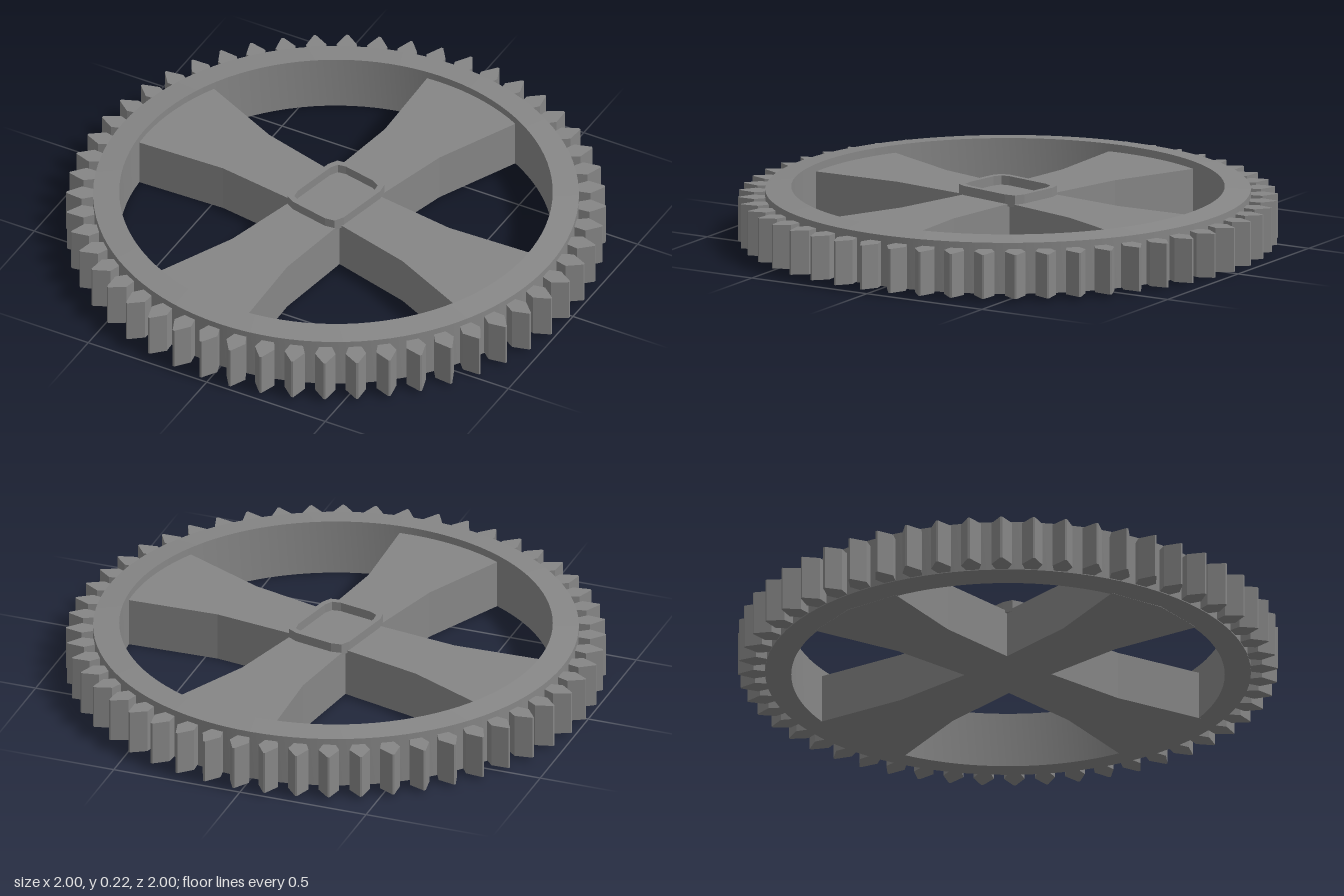
import * as THREE from 'three';
import { toCreasedNormals } from 'three/addons/utils/BufferGeometryUtils.js';

const TEETH = 52;
const SPOKE_TOP = 0.185;
const rad = THREE.MathUtils.degToRad;

// Extrude a plan outline upward; outline +y points to the back (-z)
function plate(shape, y0, y1) {
  const g = new THREE.ExtrudeGeometry(shape, { depth: y1 - y0, bevelEnabled: false });
  g.rotateX(-Math.PI / 2);
  g.translate(0, y0, 0);
  return g;
}

// Rectangle with cut corners, each softened by one extra point
function cutRect(hw, hh, c) {
  const pts = [];
  for (const [sx, sy, flip] of [[1, 1, 0], [-1, 1, 1], [-1, -1, 0], [1, -1, 1]]) {
    const corner = [[hw, hh - c], [hw - c * 0.25, hh - c * 0.25], [hw - c, hh]];
    if (flip) corner.reverse();
    corner.forEach(([x, y]) => pts.push(new THREE.Vector2(sx * x, sy * y)));
  }
  return pts;
}

export function createModel() {
  const group = new THREE.Group();
  group.name = 'gearWheel';
  const metal = new THREE.MeshStandardMaterial({ color: 0x868686 });
  metal.name = 'grey metal';

  const add = (name, geometry, parent = group) => {
    const mesh = new THREE.Mesh(geometry, metal);
    mesh.name = name;
    parent.add(mesh);
    return mesh;
  };

  // Rim, slightly thicker at its inner edge
  const profile = [[0.803, 0], [0.9, 0.01], [0.9, 0.204], [0.803, 0.214], [0.803, 0]]
    .map(([r, y]) => new THREE.Vector2(r, y));
  add('rim', toCreasedNormals(new THREE.LatheGeometry(profile, 104), rad(20)));

  // Teeth: narrow root, wide shoulder, pointed tip
  const tooth = plate(new THREE.Shape([
    [-0.022, 0.885], [0.022, 0.885], [0.024, 0.9], [0.038, 0.942],
    [0.004, 1], [-0.004, 1], [-0.038, 0.942], [-0.024, 0.9],
  ].map(([x, y]) => new THREE.Vector2(x, y))), 0.013, 0.18);
  const teeth = new THREE.Group();
  teeth.name = 'teeth';
  group.add(teeth);
  for (let i = 0; i < TEETH; i++) {
    add('tooth', tooth, teeth).rotation.y = -rad(1.5) - (i / TEETH) * Math.PI * 2;
  }

  // Four flared spokes as one cross
  const core = new THREE.Group();
  core.name = 'core';
  core.rotation.y = -rad(11.7);
  group.add(core);
  const arm = [[0.114, 0.114], [0.133, 0.436], [0.216, 0.782], [0, 0.82],
    [-0.216, 0.782], [-0.133, 0.436]];
  const cross = [];
  for (let k = 0; k < 4; k++) {
    for (const [x, y] of arm) {
      cross.push(new THREE.Vector2(x, y).rotateAround(new THREE.Vector2(), k * Math.PI / 2));
    }
  }
  add('spokes', plate(new THREE.Shape(cross), 0, SPOKE_TOP), core);

  // Raised hub collar around a shallow square recess
  const collar = new THREE.Shape(cutRect(0.127, 0.155, 0.05));
  collar.holes.push(new THREE.Path(cutRect(0.107, 0.135, 0.042)));
  add('hubCollar', plate(collar, SPOKE_TOP - 0.01, 0.22), core);

  return group;
}
